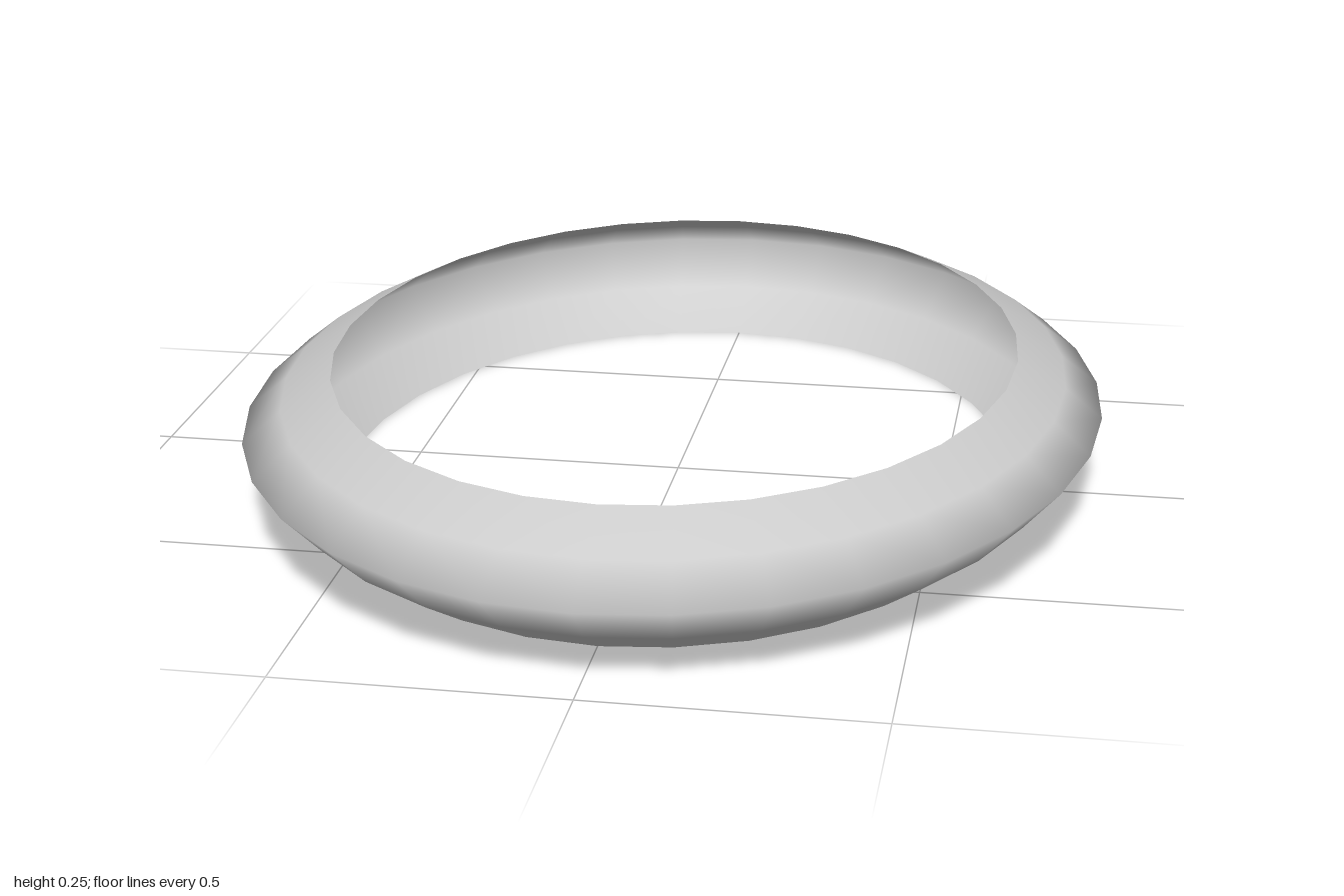
import * as THREE from 'three';

const SEGMENTS = 32;
const WIDTH_RATIO = 0.787; // oval: narrower in x than in z

export function createModel() {
  const group = new THREE.Group();
  group.name = 'ovalRing';

  // Profile (radius, height) from the bottom edge over the ridge to the top edge
  const profile = [[0.8, 0], [0.913, 0.068], [1, 0.148], [0.913, 0.203], [0.8, 0.25]];
  const points = profile.map(([r, y]) => new THREE.Vector2(r, y));

  // Open shell: hollow towards the centre, so its inside shows as a groove
  const geometry = new THREE.LatheGeometry(points, SEGMENTS);
  geometry.scale(WIDTH_RATIO, 1, 1);
  const material = new THREE.MeshStandardMaterial({ color: 0xcccccc, side: THREE.DoubleSide });
  const shell = new THREE.Mesh(geometry, material);
  shell.name = 'ringShell';
  group.add(shell);

  return group;
}
